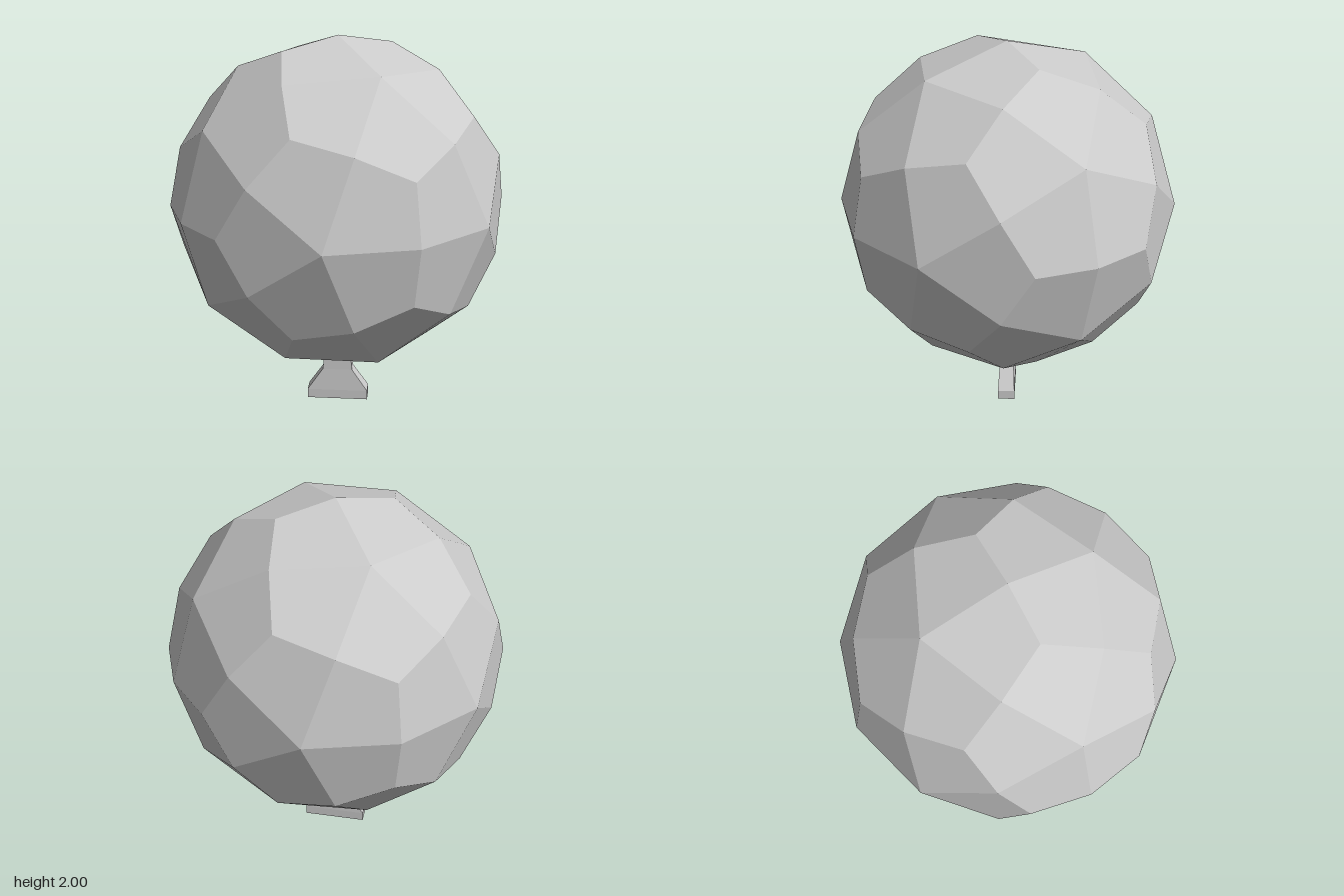
import * as THREE from 'three';

const RADIUS = 0.875;
const CENTRE_Y = 1.125;

// Sphere of 60 kite facets: each icosahedron triangle is split into three kites.
function kiteSphereGeometry(radius) {
  const source = new THREE.IcosahedronGeometry(1, 0).getAttribute('position');
  // Every corner of the built-in solid is snapped to cyclic (0, ±1, ±phi) order.
  const phi = (1 + Math.sqrt(5)) / 2;
  const corners = [];
  for (const s of [-1, 1]) {
    for (const t of [-phi, phi]) {
      corners.push(new THREE.Vector3(0, s, t), new THREE.Vector3(s, t, 0), new THREE.Vector3(t, 0, s));
    }
  }
  const snap = (v) => corners.reduce((best, c) => (c.dot(v) > best.dot(v) ? c : best));
  const onSphere = (...points) =>
    points.reduce((sum, p) => sum.add(p), new THREE.Vector3()).setLength(radius);

  const positions = [];
  const normals = [];
  for (let i = 0; i < source.count; i += 3) {
    const tri = [0, 1, 2].map((k) => snap(new THREE.Vector3().fromBufferAttribute(source, i + k)));
    const middle = onSphere(...tri);
    for (let k = 0; k < 3; k++) {
      const [a, b, c] = [tri[k], tri[(k + 1) % 3], tri[(k + 2) % 3]];
      const tip = onSphere(a);
      const next = onSphere(a, b);
      const prev = onSphere(c, a);
      // One normal for the whole kite keeps each facet evenly shaded.
      const normal = middle.clone().sub(tip).cross(prev.clone().sub(next)).normalize();
      for (const p of [tip, next, middle, tip, middle, prev]) {
        positions.push(p.x, p.y, p.z);
        normals.push(normal.x, normal.y, normal.z);
      }
    }
  }
  const geometry = new THREE.BufferGeometry();
  geometry.setAttribute('position', new THREE.Float32BufferAttribute(positions, 3));
  geometry.setAttribute('normal', new THREE.Float32BufferAttribute(normals, 3));
  return geometry;
}

// Rectangular loft; sections run bottom to top as [y, halfWidth, halfDepth].
function loftedBox(sections) {
  const steps = sections.length - 1;
  const geometry = new THREE.BoxGeometry(2, 1, 2, 1, steps, 1);
  const pos = geometry.getAttribute('position');
  for (let i = 0; i < pos.count; i++) {
    const [y, w, d] = sections[Math.round((pos.getY(i) + 0.5) * steps)];
    pos.setXYZ(i, pos.getX(i) * w, y, pos.getZ(i) * d);
  }
  geometry.computeVertexNormals();
  return geometry;
}

export function createModel() {
  const model = new THREE.Group();
  model.name = 'facetedBalloon';

  // Faceted ball, turned so that a five-fold corner faces the front
  const ball = new THREE.Mesh(
    kiteSphereGeometry(RADIUS),
    new THREE.MeshStandardMaterial({ color: 0xcccccc })
  );
  ball.name = 'ball';
  ball.position.y = CENTRE_Y;
  ball.rotation.y = -Math.atan((1 + Math.sqrt(5)) / 2);
  model.add(ball);

  // Flared flat foot with a narrow neck running into the ball
  const foot = new THREE.Mesh(
    loftedBox([
      [0, 0.163, 0.045],
      [0.05, 0.163, 0.045],
      [0.17, 0.08, 0.038],
      [0.3, 0.067, 0.035],
    ]),
    new THREE.MeshStandardMaterial({ color: 0xcccccc, flatShading: true })
  );
  foot.name = 'foot';
  model.add(foot);

  return model;
}
